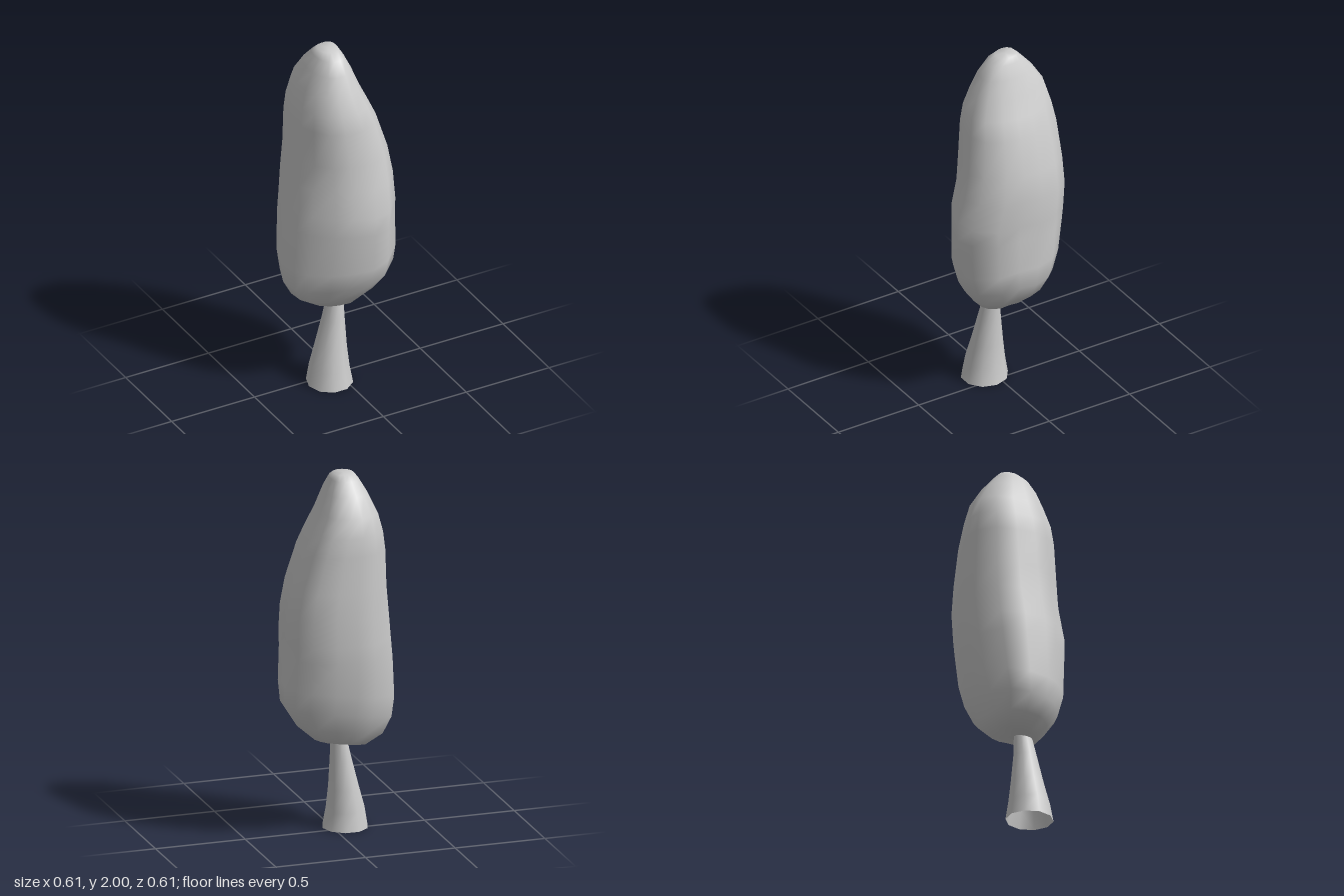
import * as THREE from 'three';

const { lerp, clamp, smoothstep } = THREE.MathUtils;
const material = new THREE.MeshStandardMaterial({ color: 0xcccccc, side: THREE.DoubleSide });

// Skin a stack of rings [y, xMin, xMax, zMin, zMax], bottom to top.
// outlineAt(y): unit points [x, z] running from +x towards +z.
// lift(x, z, y) bends a ring out of level; capped closes both ends.
function loft(rings, outlineAt, lift, capped) {
  const n = outlineAt(0).length, pos = [], index = [];
  for (const [y, x0, x1, z0, z1] of rings) {
    for (const [u, v] of outlineAt(y)) {
      const x = (x0 + x1) / 2 + u * (x1 - x0) / 2;
      const z = (z0 + z1) / 2 + v * (z1 - z0) / 2;
      pos.push(x, y + lift(x, z, y), z);
    }
  }
  for (let j = 0; j < rings.length - 1; j++) {
    for (let i = 0; i < n; i++) {
      const a = j * n + i, b = j * n + (i + 1) % n;
      index.push(a, a + n, b, b, a + n, b + n);
    }
  }
  if (capped) {
    const top = (rings.length - 1) * n, c = pos.length / 3;
    for (const [y, x0, x1, z0, z1] of [rings[0], rings[rings.length - 1]]) {
      const x = (x0 + x1) / 2, z = (z0 + z1) / 2;
      pos.push(x, y + lift(x, z, y), z);
    }
    for (let i = 0; i < n; i++) {
      const k = (i + 1) % n;
      index.push(c, i, k, c + 1, top + k, top + i);
    }
  }
  const g = new THREE.BufferGeometry();
  g.setAttribute('position', new THREE.Float32BufferAttribute(pos, 3));
  g.setIndex(index);
  g.computeVertexNormals();
  return g;
}

function part(name, geometry) {
  const mesh = new THREE.Mesh(geometry, material);
  mesh.name = name;
  return mesh;
}

export function createModel() {
  const group = new THREE.Group();
  group.name = 'tree';

  // Lopsided leafy crown: its lower outline is cut away at the front right,
  // its upper outline is rounder, and the tip leans back
  const lowOutline = [
    [1, -0.26], [0.9, 0.1], [0.87, 0.53], [0.54, 0.9], [0.21, 1], [-0.2, 0.85],
    [-0.47, 0.7], [-0.8, 0.4], [-0.94, 0.15], [-1, -0.26], [-0.88, -0.69],
    [-0.46, -0.96], [-0.13, -1], [0.26, -1], [0.7, -0.91], [0.9, -0.65],
  ];
  const highOutline = [
    [1, -0.2], [0.99, 0.15], [0.92, 0.5], [0.68, 0.85], [0.28, 1], [-0.2, 0.97],
    [-0.55, 0.82], [-0.82, 0.55], [-0.96, 0.22], [-1, -0.2], [-0.9, -0.63],
    [-0.54, -0.94], [-0.16, -1], [0.26, -1], [0.69, -0.88], [0.91, -0.6],
  ];
  const crownOutline = (y) => {
    const t = smoothstep(y, 1.05, 1.6);
    return lowOutline.map(([u, v], i) =>
      [lerp(u, highOutline[i][0], t), lerp(v, highOutline[i][1], t)]);
  };
  const crownRings = [
    [0.5, -0.155, 0.125, -0.13, 0.115],
    [0.575, -0.25, 0.23, -0.19, 0.18],
    [0.675, -0.3, 0.298, -0.225, 0.25],
    [0.79, -0.308, 0.304, -0.26, 0.287],
    [1.0, -0.29, 0.295, -0.287, 0.3],
    [1.1, -0.278, 0.296, -0.295, 0.305],
    [1.25, -0.26, 0.295, -0.305, 0.265],
    [1.4, -0.243, 0.268, -0.305, 0.237],
    [1.6, -0.232, 0.205, -0.302, 0.205],
    [1.7, -0.218, 0.16, -0.292, 0.184],
    [1.8, -0.19, 0.115, -0.268, 0.142],
    [1.9, -0.145, 0.075, -0.205, 0.1],
    [1.97, -0.105, 0.042, -0.145, 0.052],
    [2.0, -0.08, 0.025, -0.115, 0.0],
  ];
  // the underside slopes up towards the back left
  const slope = (x, z, y) =>
    (0.16 * x - 0.1 * z) * clamp((1.1 - y) / 0.35, 0, 1);
  group.add(part('crown', loft(crownRings, crownOutline, slope, true)));

  // Leaning trunk, flared at the foot and open underneath
  const circle = Array.from({ length: 10 }, (_, i) => {
    const a = (i / 10) * Math.PI * 2;
    return [Math.cos(a), Math.sin(a)];
  });
  const trunkRings = [
    [0, -0.197, 0.052, -0.083, 0.174],
    [0.1, -0.18, 0.034, -0.068, 0.155],
    [0.22, -0.146, 0.023, -0.051, 0.128],
    [0.38, -0.104, 0.016, -0.03, 0.098],
    [0.54, -0.064, 0.013, -0.019, 0.068],
  ];
  group.add(part('trunk', loft(trunkRings, () => circle, () => 0, false)));

  return group;
}
